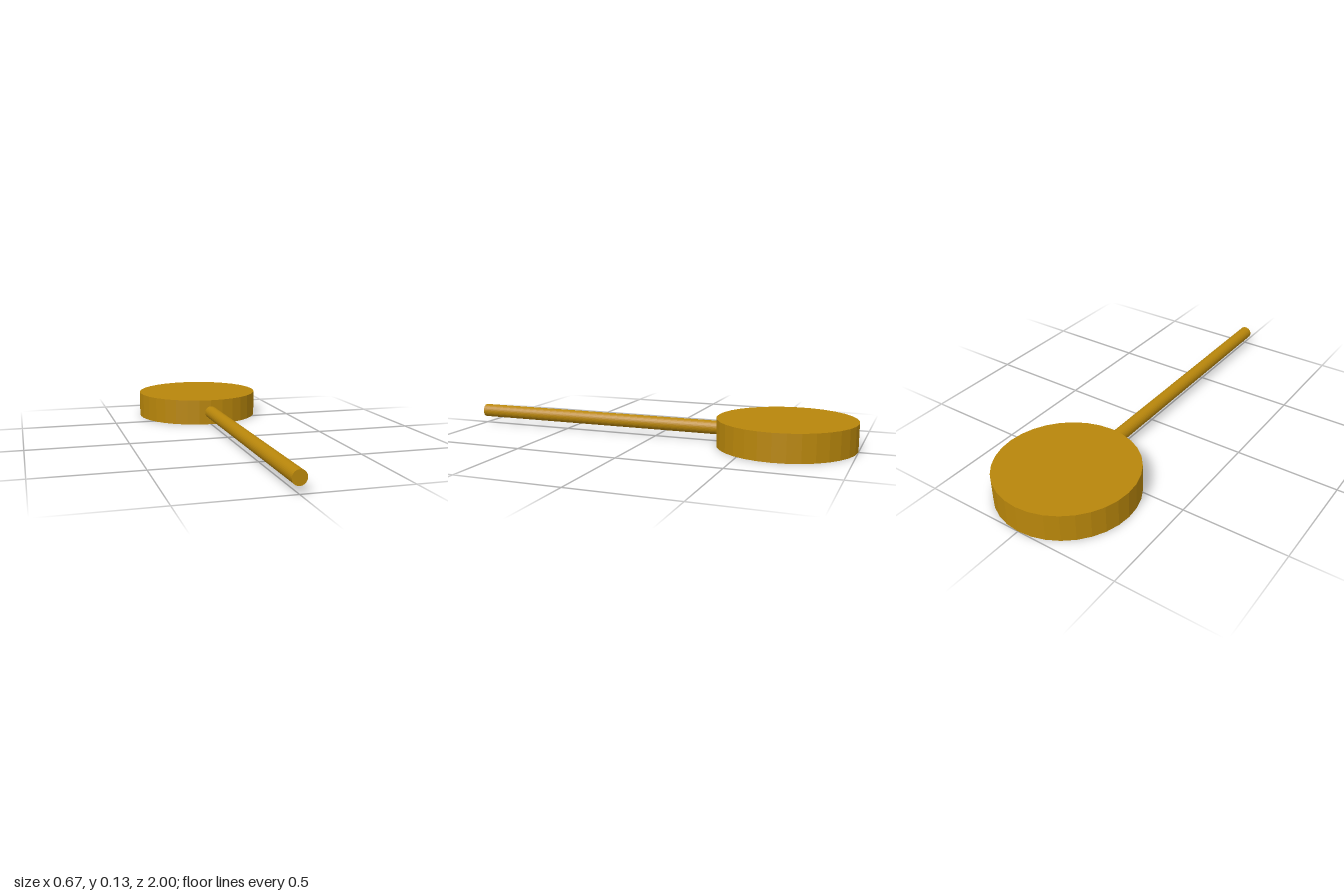
import * as THREE from 'three';

const SEGMENTS = 32;

export function createModel() {
  const group = new THREE.Group();
  const gold = new THREE.MeshStandardMaterial({ color: 0xb8860b });
  gold.name = 'dark gold';

  // Faceted solid cylinder with flat sides
  function addCylinder(name, radius, length) {
    const geometry = new THREE.CylinderGeometry(radius, radius, length, SEGMENTS).toNonIndexed();
    geometry.computeVertexNormals();
    const mesh = new THREE.Mesh(geometry, gold);
    mesh.name = name;
    group.add(mesh);
    return mesh;
  }

  // Round pan lying flat at the back
  addCylinder('pan', 1 / 3, 0.4 / 3).position.set(0, 0.2 / 3, -2 / 3);

  // Long straight handle running forward from the pan's rim
  const handle = addCylinder('handle', 0.1 / 3, 4 / 3);
  handle.rotation.x = Math.PI / 2;
  handle.position.set(0, 0.2 / 3, 1 / 3);

  return group;
}
